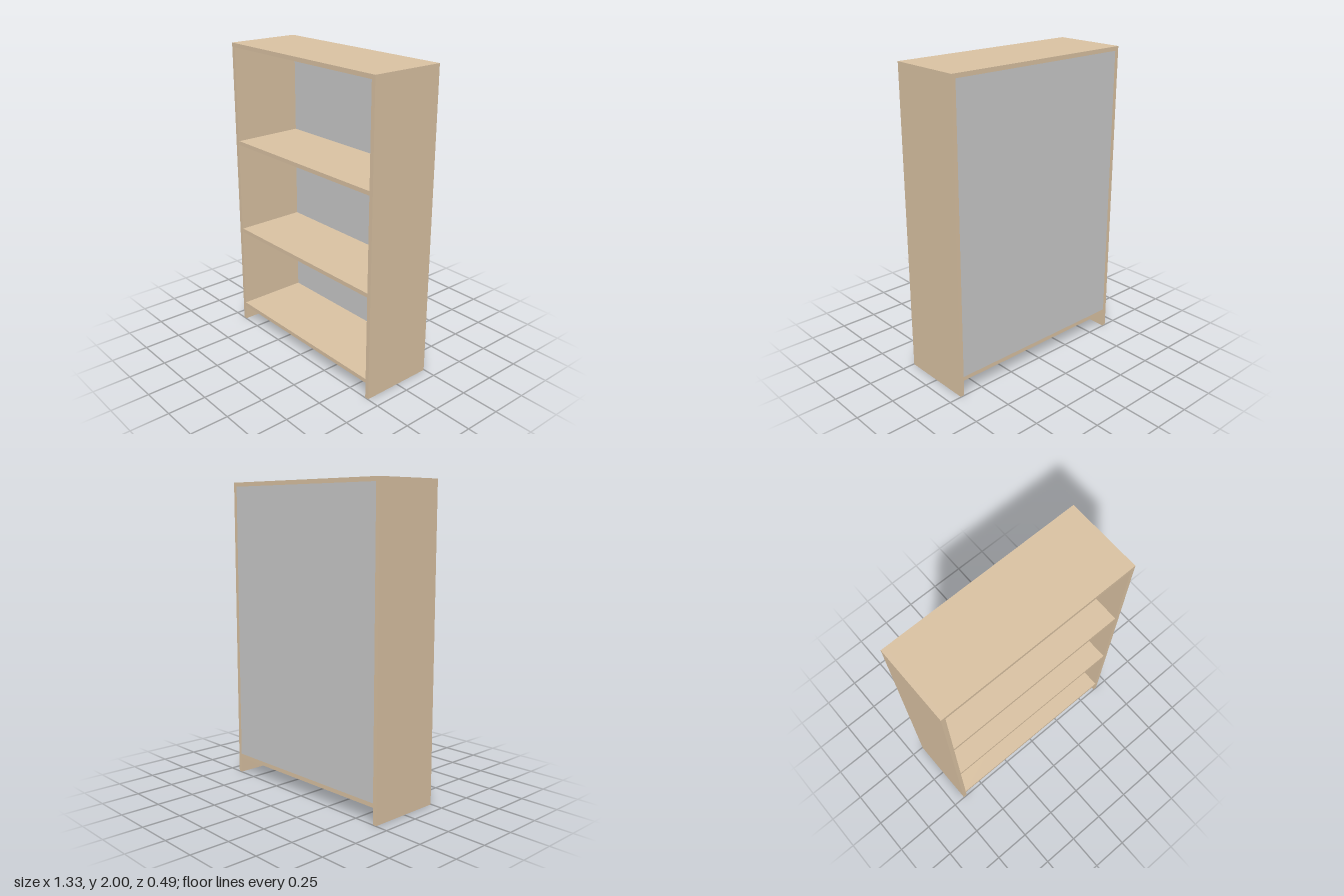
import * as THREE from 'three';

const WIDTH = 1.33, HEIGHT = 2, DEPTH = 0.494, BOARD = 0.027, BACK = 0.01;
const INNER = WIDTH - 2 * BOARD;

export function createModel() {
  const group = new THREE.Group();
  group.name = 'bookcase';
  const wood = new THREE.MeshStandardMaterial({ color: 0xdcc4a4 });
  const grey = new THREE.MeshStandardMaterial({ color: 0xcccccc });

  const board = (name, size, position, material = wood) => {
    const mesh = new THREE.Mesh(new THREE.BoxGeometry(...size), material);
    mesh.name = name;
    mesh.position.set(...position);
    group.add(mesh);
  };

  // Full-height sides, which also serve as the feet
  for (const [name, s] of [['leftSide', 1], ['rightSide', -1]]) {
    board(name, [BOARD, HEIGHT, DEPTH], [s * (WIDTH - BOARD) / 2, HEIGHT / 2, 0]);
  }

  // Fixed top and bottom between the sides
  const bottomY = 0.118, topY = HEIGHT - BOARD / 2;
  board('top', [INNER, BOARD, DEPTH], [0, topY, 0]);
  board('bottom', [INNER, BOARD, DEPTH], [0, bottomY, 0]);

  // Thin back panel, flush with the rear edges
  const panelHeight = topY - bottomY - BOARD;
  board('backPanel', [INNER, panelHeight, BACK],
    [0, (topY + bottomY) / 2, (BACK - DEPTH) / 2], grey);

  // Loose shelves with a slight clearance all round
  const gap = 0.003;
  [['lowerShelf', 0.701], ['upperShelf', 1.336]].forEach(([name, y]) => {
    board(name, [INNER - 2 * gap, BOARD, DEPTH - BACK - 2 * gap], [0, y, BACK / 2]);
  });

  return group;
}
